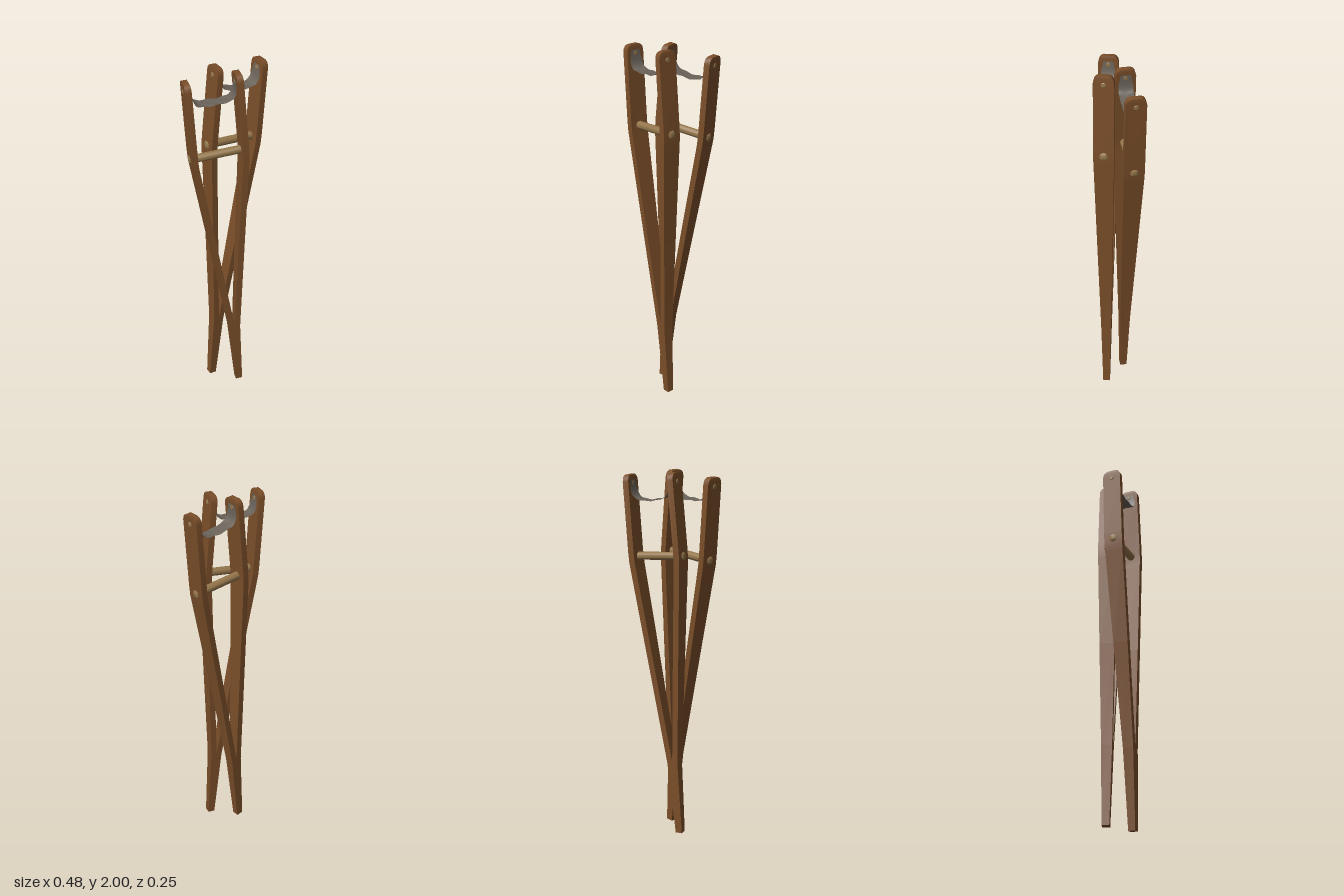
import * as THREE from 'three';
import { toCreasedNormals } from 'three/addons/utils/BufferGeometryUtils.js';

const wood = new THREE.MeshStandardMaterial({ name: 'brown wood', color: 0x7a4e29 });
const paleWood = new THREE.MeshStandardMaterial({ name: 'pale wood', color: 0x93754a });
const cloth = new THREE.MeshStandardMaterial({ name: 'grey cloth', color: 0x6a635a, side: THREE.DoubleSide });

// Leg stations from foot to top: height, sideways offset, half thickness, half depth
const STATIONS = [
  [0, 0.004, 0.015, 0.019],
  [0.42, 0.015, 0.016, 0.0285],
  [0.98, 0.072, 0.016, 0.0405],
  [1.5, 0.126, 0.016, 0.051],
  [1.54, 0.13, 0.016, 0.052],
  [1.6, 0.131, 0.016, 0.052],
  [1.955, 0.127, 0.016, 0.051],
  [1.972, 0.127, 0.016, 0.047],
  [1.983, 0.127, 0.0155, 0.039],
  [1.99, 0.127, 0.014, 0.026],
];

function add(group, name, geometry, material) {
  const mesh = new THREE.Mesh(geometry, material);
  mesh.name = name;
  group.add(mesh);
  return mesh;
}

// Box whose rows are moved onto the stations
function legGeometry(side) {
  const rows = STATIONS.length - 1;
  const g = new THREE.BoxGeometry(1, 1, 1, 1, rows, 1);
  const p = g.attributes.position;
  for (let i = 0; i < p.count; i++) {
    const [y, offset, halfX, halfZ] = STATIONS[Math.round((p.getY(i) + 0.5) * rows)];
    p.setXYZ(i, side * offset + Math.sign(p.getX(i)) * halfX, y, Math.sign(p.getZ(i)) * halfZ);
  }
  return toCreasedNormals(g, 0.5);
}

// Sagging, slightly creased strip with narrowed ends
function slingGeometry(seed) {
  const g = new THREE.PlaneGeometry(2, 2, 28, 6);
  const p = g.attributes.position;
  for (let i = 0; i < p.count; i++) {
    const u = p.getX(i), v = p.getY(i), a = Math.abs(u);
    const mid = 1 - a * a;
    const crease = 0.005 * mid * Math.sin(9 * u + 2.5 * v + seed) * Math.sin(2 * v + 5 * u);
    const halfZ = 0.037 - 0.012 * Math.max(0, a - 0.85) / 0.15;
    p.setXYZ(i, 0.11 * Math.sin(u * Math.PI / 2),
      1.857 + 0.035 * a * a + 0.07 * a ** 6 + crease, -v * halfZ);
  }
  g.computeVertexNormals();
  return g;
}

// Round peg along x with softly domed ends
function pegGeometry(radius, half) {
  const b = Math.min(0.006, half / 2);
  const profile = [[0, -half], [radius * 0.7, -half + b * 0.3], [radius, -half + b],
    [radius, half - b], [radius * 0.7, half - b * 0.3], [0, half]]
    .map(([r, y]) => new THREE.Vector2(r, y));
  return toCreasedNormals(new THREE.LatheGeometry(profile, 20).rotateZ(-Math.PI / 2), 0.6);
}

function crutch(name, foot, top, across, seed) {
  const group = new THREE.Group();
  group.name = name;
  for (const side of [-1, 1]) {
    const label = side < 0 ? 'right' : 'left';
    add(group, label + 'Leg', legGeometry(side), wood);
    // Short pin holding the sling end, through the leg
    add(group, label + 'SlingPin', pegGeometry(0.014, 0.021), paleWood)
      .position.set(side * 0.127, 1.945, 0);
  }
  add(group, 'handle', pegGeometry(0.021, 0.155), paleWood).position.set(0, 1.567, 0);
  add(group, 'armpitSling', slingGeometry(seed), cloth);

  // Lean the crutch from its foot towards its top
  const y = top.clone().sub(foot).normalize();
  const z = across.clone().cross(y).normalize();
  const x = y.clone().cross(z);
  group.quaternion.setFromRotationMatrix(new THREE.Matrix4().makeBasis(x, y, z));
  group.position.copy(foot);
  return group;
}

export function createModel() {
  const V = (x, y, z) => new THREE.Vector3(x, y, z);
  const model = new THREE.Group();
  model.name = 'pairOfCrutches';
  model.add(
    crutch('frontCrutch', V(0.052, 0.002, 0.073), V(-0.095, 1.985, 0.056), V(0.254, 0.02, 0.033), 0.4),
    crutch('backCrutch', V(-0.078, 0.002, -0.03), V(0.09, 1.985, -0.051), V(0.255, -0.02, -0.036), 2.1),
  );
  return model;
}
